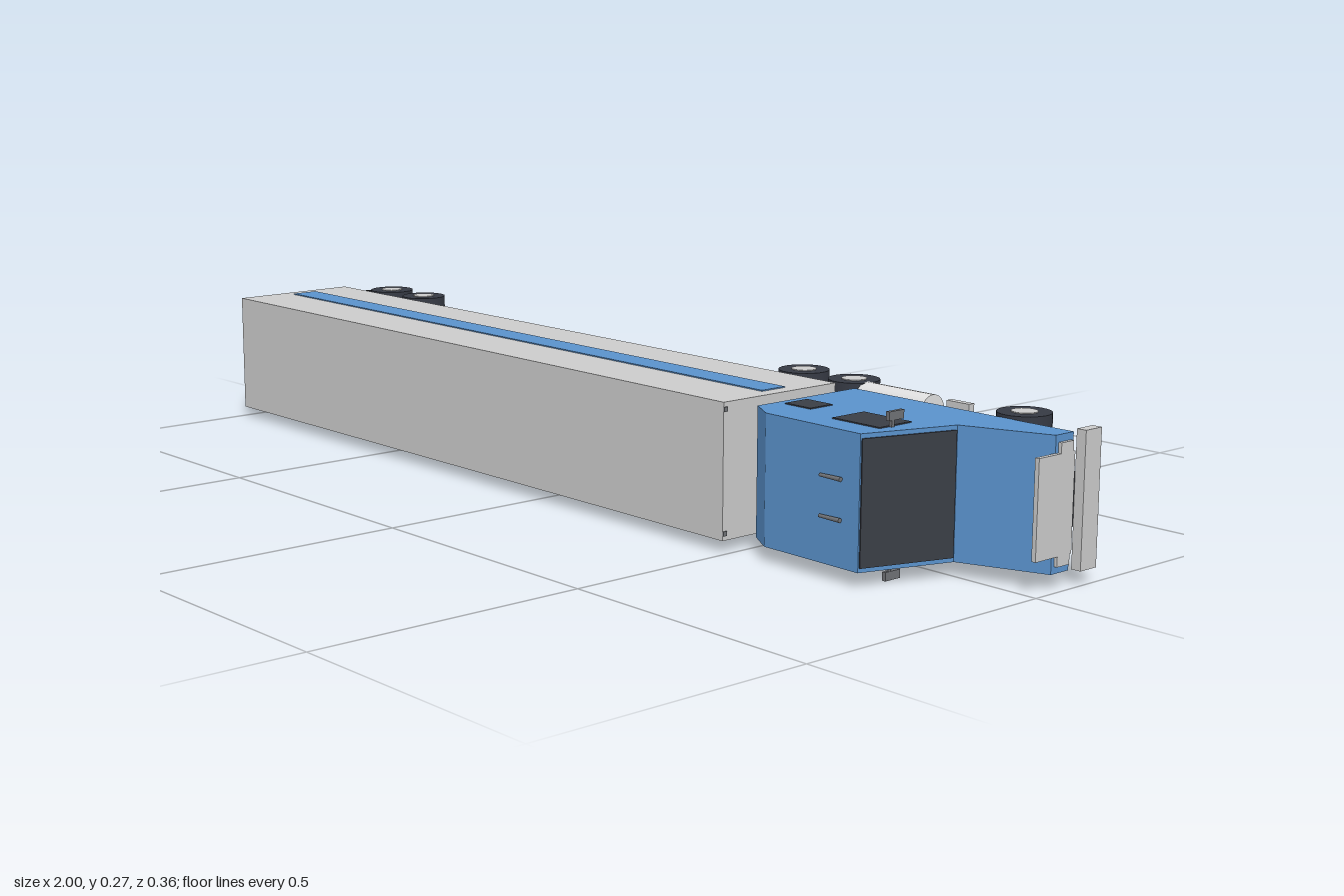
import * as THREE from 'three';

const mat = (name, color) => {
  const m = new THREE.MeshStandardMaterial({ color });
  m.name = name;
  return m;
};

export function createModel() {
  const blue = mat('blue paint', 0x5a92cc);
  const grey = mat('light grey', 0xcbcbcb);
  const steel = mat('tank steel', 0xe0e0e0);
  const dark = mat('dark chassis', 0x30333a);
  const tyre = mat('tyre rubber', 0x363a44);
  const glass = mat('dark glass', 0x3a3e46);
  const mid = mat('mid grey', 0x707276);

  // Built upright: x forward, y up, z across; laid on its side at the end.
  const truck = new THREE.Group();
  truck.name = 'truck';

  const add = (name, geo, material, x = 0, y = 0, z = 0) => {
    const m = new THREE.Mesh(geo, material);
    m.name = name;
    m.position.set(x, y, z);
    truck.add(m);
    return m;
  };
  // Box given by its limits on each axis
  const box = (name, material, x0, x1, y0, y1, z0, z1) =>
    add(name, new THREE.BoxGeometry(x1 - x0, y1 - y0, z1 - z0), material,
      (x0 + x1) / 2, (y0 + y1) / 2, (z0 + z1) / 2);
  // The same box on both sides
  const pair = (name, material, x0, x1, y0, y1, z0, z1) => {
    box(name, material, x0, x1, y0, y1, z0, z1);
    box(name, material, x0, x1, y0, y1, -z1, -z0);
  };

  // Trailer
  box('trailerBody', grey, -0.998, 0.489, -0.081, 0.18, -0.117, 0.117);
  pair('trailerStripe', blue, -0.97, 0.463, 0.014, 0.068, 0.117, 0.119);
  box('rearDoorSeam', dark, -1.0, -0.998, -0.078, 0.177, -0.0015, 0.0015);
  pair('trailerMarker', mid, 0.489, 0.491, 0.172, 0.18, 0.101, 0.109);
  box('underrideBar', dark, -1.0, -0.992, -0.148, -0.136, -0.103, 0.103);
  pair('rearLamp', dark, -1.0, -0.994, -0.115, -0.1, 0.06, 0.082);

  // Landing gear
  pair('landingLeg', dark, 0.157, 0.167, -0.165, -0.081, 0.07, 0.08);
  pair('landingFoot', dark, 0.145, 0.179, -0.17, -0.164, 0.063, 0.087);
  box('landingCrossbar', dark, 0.158, 0.166, -0.135, -0.126, -0.075, 0.075);

  // Cab with sloped windscreen and hood
  const profile = [[0.523, -0.093], [0.987, -0.093], [0.987, -0.05], [0.838, 0.006],
    [0.785, 0.17], [0.575, 0.168], [0.523, 0.136]];
  const cab = new THREE.ExtrudeGeometry(
    new THREE.Shape(profile.map(p => new THREE.Vector2(...p))),
    { depth: 0.222, bevelEnabled: false });
  add('cab', cab, blue, 0, 0, -0.111);

  const screen = add('windscreen', new THREE.BoxGeometry(0.004, 0.168, 0.207), glass, 0.8125, 0.0885, 0);
  screen.rotation.z = Math.atan2(0.053, 0.164);
  pair('doorWindow', glass, 0.676, 0.778, 0.047, 0.12, 0.111, 0.113);
  pair('sleeperWindow', glass, 0.543, 0.601, 0.042, 0.093, 0.111, 0.113);

  // Mirrors
  pair('mirrorArm', mid, 0.777, 0.783, 0.092, 0.098, 0.109, 0.124);
  pair('mirror', mid, 0.777, 0.784, 0.071, 0.105, 0.122, 0.1365);

  // Grille, headlights and bumper
  box('grille', grey, 0.985, 0.993, -0.091, -0.004, -0.082, 0.082);
  pair('headlight', grey, 0.985, 0.993, -0.087, -0.057, 0.082, 0.099);
  box('bumper', grey, 0.982, 1.0, -0.146, -0.107, -0.113, 0.113);

  // Chassis and coupling plate
  box('chassis', dark, 0.307, 0.982, -0.11, -0.093, -0.044, 0.044);
  box('couplingPlate', dark, 0.375, 0.46, -0.093, -0.081, -0.04, 0.04);

  for (const s of [-1, 1]) {
    // Fuel tank, step and roof horn
    add('fuelTank', new THREE.CylinderGeometry(0.029, 0.029, 0.15, 24).rotateZ(Math.PI / 2),
      steel, 0.592, -0.129, s * 0.088);
    box('step', grey, 0.703, 0.751, -0.135, -0.122, s * 0.1 - 0.014, s * 0.1 + 0.014);
    add('roofHorn', new THREE.CylinderGeometry(0.004, 0.003, 0.045, 10).rotateZ(-Math.PI / 2),
      mid, 0.726, 0.174, s * 0.033);
  }

  // Wheels: single at the front, doubled on the rear and trailer axles
  const wheel = (x, s, z0, z1) => {
    add('tyre', new THREE.CylinderGeometry(0.045, 0.045, z1 - z0, 28).rotateX(Math.PI / 2),
      tyre, x, -0.138, s * (z0 + z1) / 2);
    add('hub', new THREE.CylinderGeometry(0.022, 0.022, z1 - z0 + 0.003, 20).rotateX(Math.PI / 2),
      grey, x, -0.138, s * (z0 + z1) / 2);
  };
  for (const s of [-1, 1]) {
    wheel(0.853, s, 0.087, 0.116);
    for (const x of [-0.9, -0.783, 0.358, 0.479]) {
      wheel(x, s, 0.093, 0.116);
      wheel(x, s, 0.068, 0.09);
    }
  }

  truck.rotation.x = Math.PI / 2;
  truck.position.y = 0.1365;
  const model = new THREE.Group();
  model.name = 'semiTrailerTruck';
  model.add(truck);
  return model;
}
